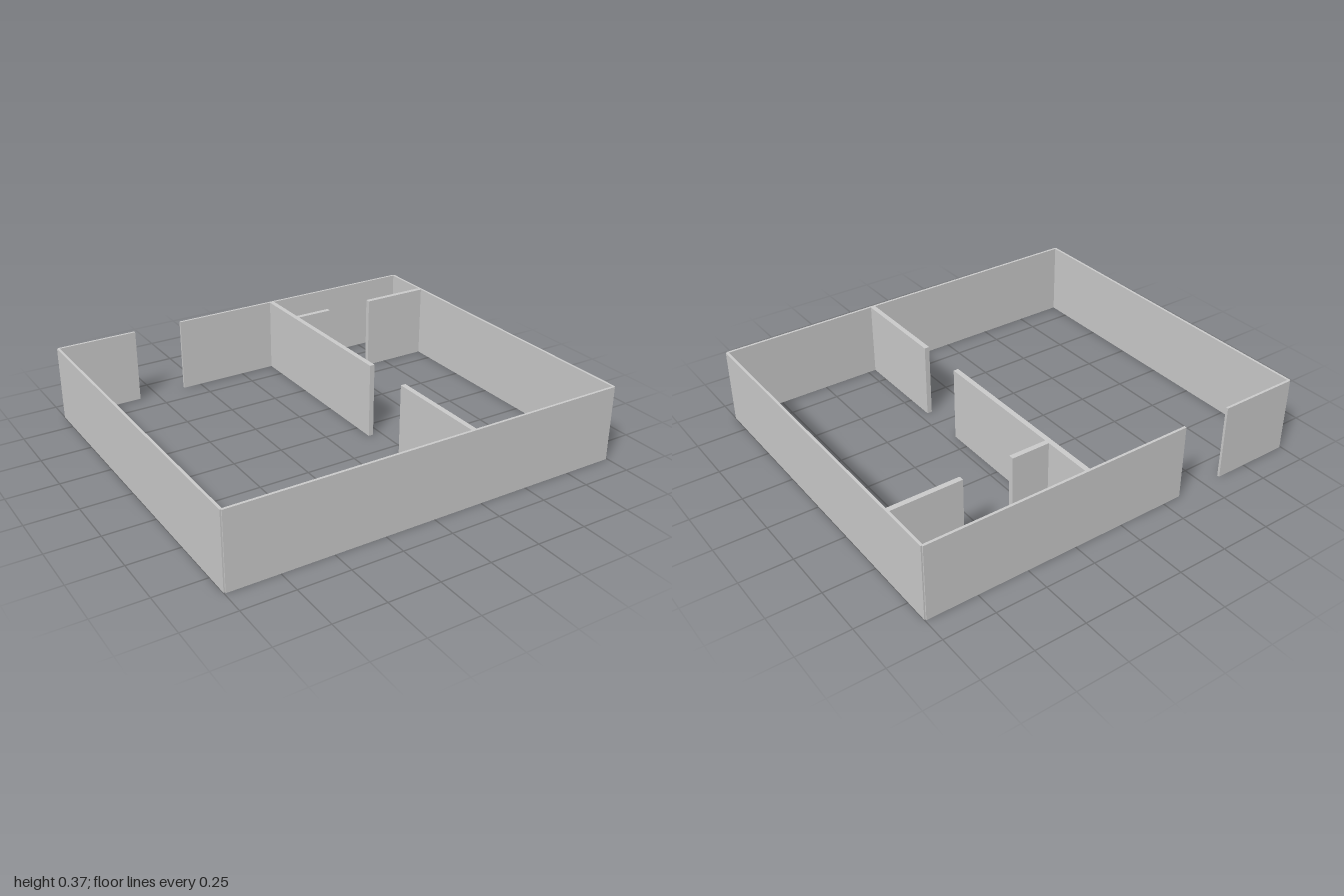
import * as THREE from 'three';

const HEIGHT = 0.373;
const OUTER = 0.0125; // outer wall thickness
const INNER = 0.025; // partition thickness
const X = 1 - OUTER / 2; // centre lines of the outer walls
const Z = 0.875 - OUTER / 2;

export function createModel() {
  const house = new THREE.Group();
  house.name = 'floorPlanWalls';
  const material = new THREE.MeshStandardMaterial({ color: 0xcccccc, flatShading: true });

  // Upright wall along the centre line from (x1, z1) to (x2, z2)
  function wall(name, x1, z1, x2, z2, thickness) {
    const length = Math.hypot(x2 - x1, z2 - z1);
    const mesh = new THREE.Mesh(new THREE.BoxGeometry(length, HEIGHT, thickness), material);
    mesh.position.set((x1 + x2) / 2, HEIGHT / 2, (z1 + z2) / 2);
    mesh.rotation.y = -Math.atan2(z2 - z1, x2 - x1);
    mesh.name = name;
    house.add(mesh);
  }

  // Outer walls, with the entrance opening at the back
  wall('frontWall', -X, Z, X, Z, OUTER);
  wall('leftWall', X, -Z, X, Z, OUTER);
  wall('rightWall', -X, -Z, -X, Z, OUTER);
  wall('backWallRight', -X, -Z, -0.594, -Z, OUTER);
  wall('backWallLeft', -0.344, -Z, X, -Z, OUTER);

  // Long partition with a doorway
  wall('partitionBack', 0.195, -Z, 0.195, 0.1, INNER);
  wall('partitionFront', 0.195, 0.35, 0.195, Z, INNER);

  // Cross partition of the small back room, with a doorway
  wall('crossPartitionRight', 0.195, -0.61, 0.396, -0.61, INNER);
  wall('crossPartitionLeft', 0.643, -0.61, X, -0.61, INNER);

  return house;
}
